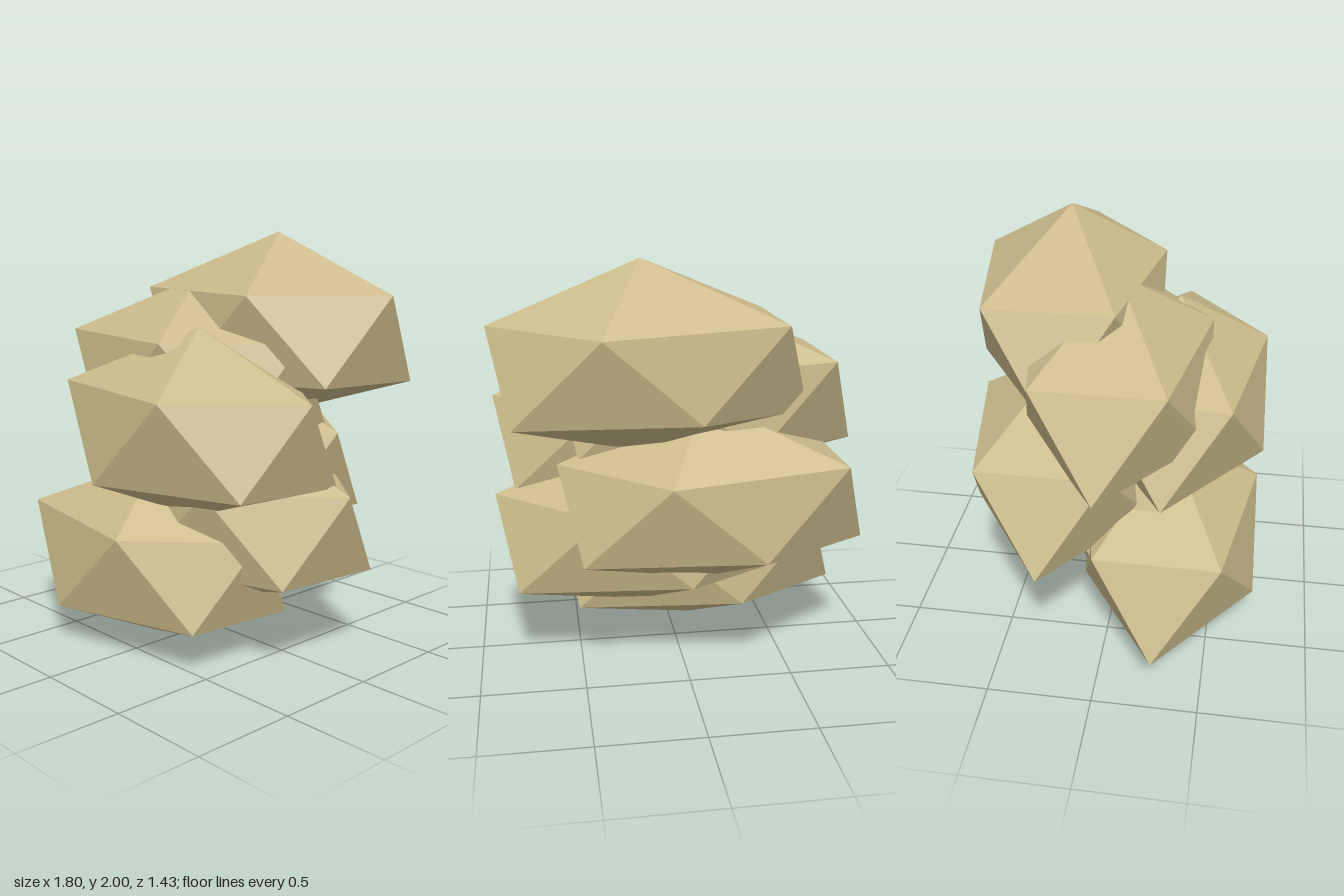
import * as THREE from 'three';

// Faceted stone: two rings of five corners between a top and a bottom point
const TOP = [0.05, 0.29, 0];
const UPPER = [[0.75, 0, 0], [0.26, -0.005, 0.435], [-0.58, 0.015, 0.3], [-0.58, 0.015, -0.3], [0.26, -0.005, -0.45]];
const LOWER = [[0.6, -0.41, 0.27], [-0.18, -0.425, 0.455], [-0.75, -0.44, 0], [-0.18, -0.395, -0.405], [0.65, -0.415, -0.29]];
const BOTTOM = [0.04, -0.61, 0];

function stoneGeometry() {
  const corners = [];
  const face = (...points) => points.forEach((p) => corners.push(...p));
  for (let i = 0; i < 5; i++) {
    const j = (i + 1) % 5;
    face(TOP, UPPER[j], UPPER[i]);
    face(UPPER[i], UPPER[j], LOWER[i]);
    face(LOWER[i], UPPER[j], LOWER[j]);
    face(LOWER[i], LOWER[j], BOTTOM);
  }
  const geometry = new THREE.BufferGeometry();
  geometry.setAttribute('position', new THREE.Float32BufferAttribute(corners, 3));
  geometry.computeVertexNormals(); // unshared corners keep the facets flat
  return geometry;
}

export function createModel() {
  const model = new THREE.Group();
  model.name = 'stoneStack';
  const sandstone = new THREE.MeshStandardMaterial({ color: 0xcbbb8b });
  sandstone.name = 'sandstone';
  const geometry = stoneGeometry();

  // Six stones, bottom to top: sideways every second one, depth in a cycle of three
  for (let i = 0; i < 6; i++) {
    const stone = new THREE.Mesh(geometry, sandstone);
    stone.name = `stone${i + 1}`;
    stone.position.set(i % 2 ? 0.15 : -0.15, 0.61 + i * 0.22, 0.265 * (1 - (i % 3)));
    model.add(stone);
  }
  return model;
}
